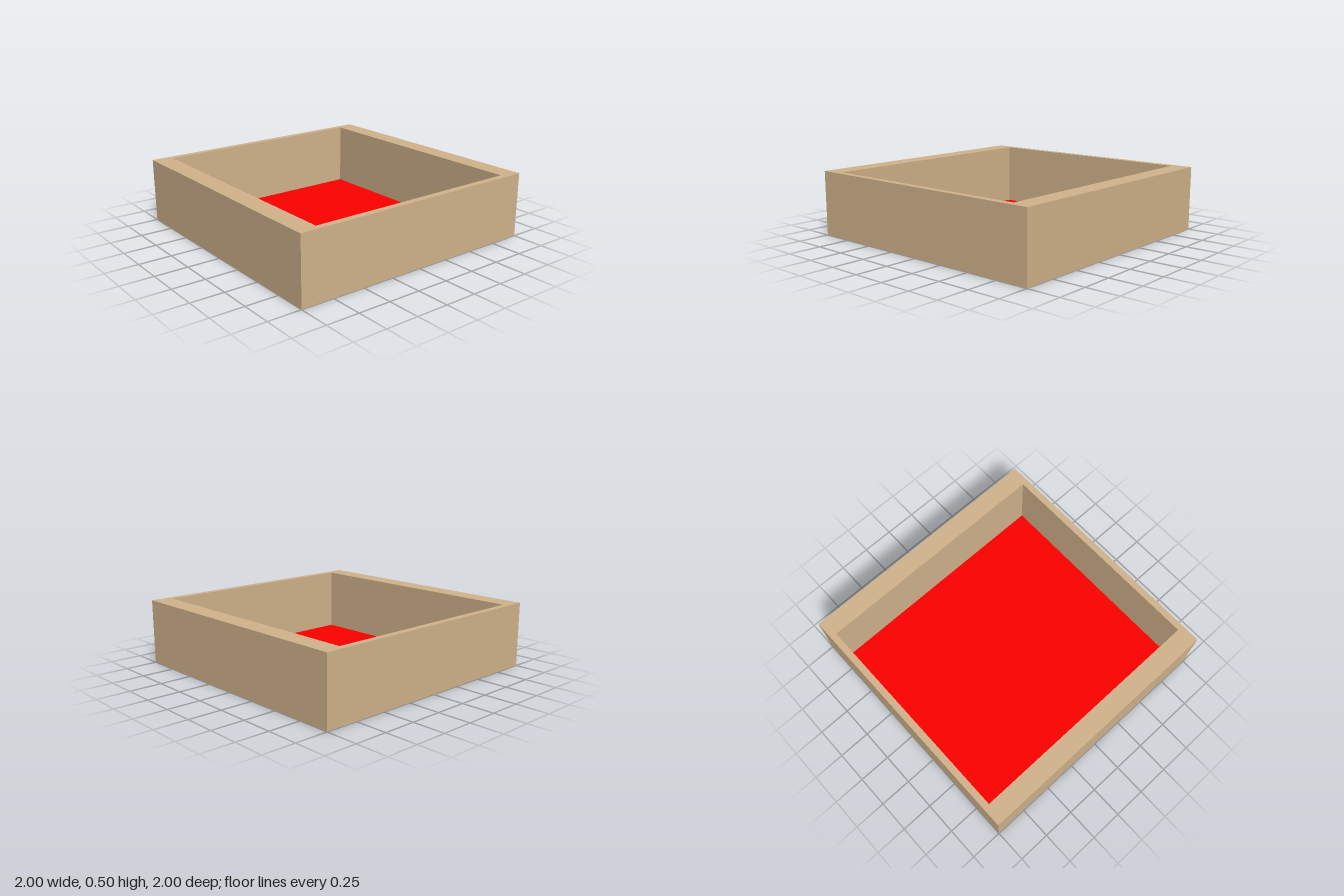
import * as THREE from 'three';

const SIZE = 2, HEIGHT = 0.5;
const INNER_X = 0.95, INNER_Z = 0.85; // half sizes of the opening

export function createModel() {
  const group = new THREE.Group();
  group.name = 'openTray';

  // Square frame: thin side walls, thicker front and back walls
  const h = SIZE / 2;
  const outline = new THREE.Shape([
    new THREE.Vector2(-h, -h), new THREE.Vector2(h, -h),
    new THREE.Vector2(h, h), new THREE.Vector2(-h, h),
  ]);
  outline.holes.push(new THREE.Path([
    new THREE.Vector2(-INNER_X, -INNER_Z), new THREE.Vector2(-INNER_X, INNER_Z),
    new THREE.Vector2(INNER_X, INNER_Z), new THREE.Vector2(INNER_X, -INNER_Z),
  ]));
  const frameGeometry = new THREE.ExtrudeGeometry(outline, { depth: HEIGHT, bevelEnabled: false });
  frameGeometry.rotateX(-Math.PI / 2);
  const frame = new THREE.Mesh(frameGeometry, new THREE.MeshStandardMaterial({ color: 0xd2b48c }));
  frame.name = 'frame';
  group.add(frame);

  // Thin floor sheet, flush with the underside and seen from both sides
  const floorGeometry = new THREE.PlaneGeometry(INNER_X * 2, INNER_Z * 2);
  floorGeometry.rotateX(-Math.PI / 2);
  const floor = new THREE.Mesh(floorGeometry,
    new THREE.MeshStandardMaterial({ color: 0xff0000, side: THREE.DoubleSide }));
  floor.name = 'floor';
  group.add(floor);

  return group;
}
